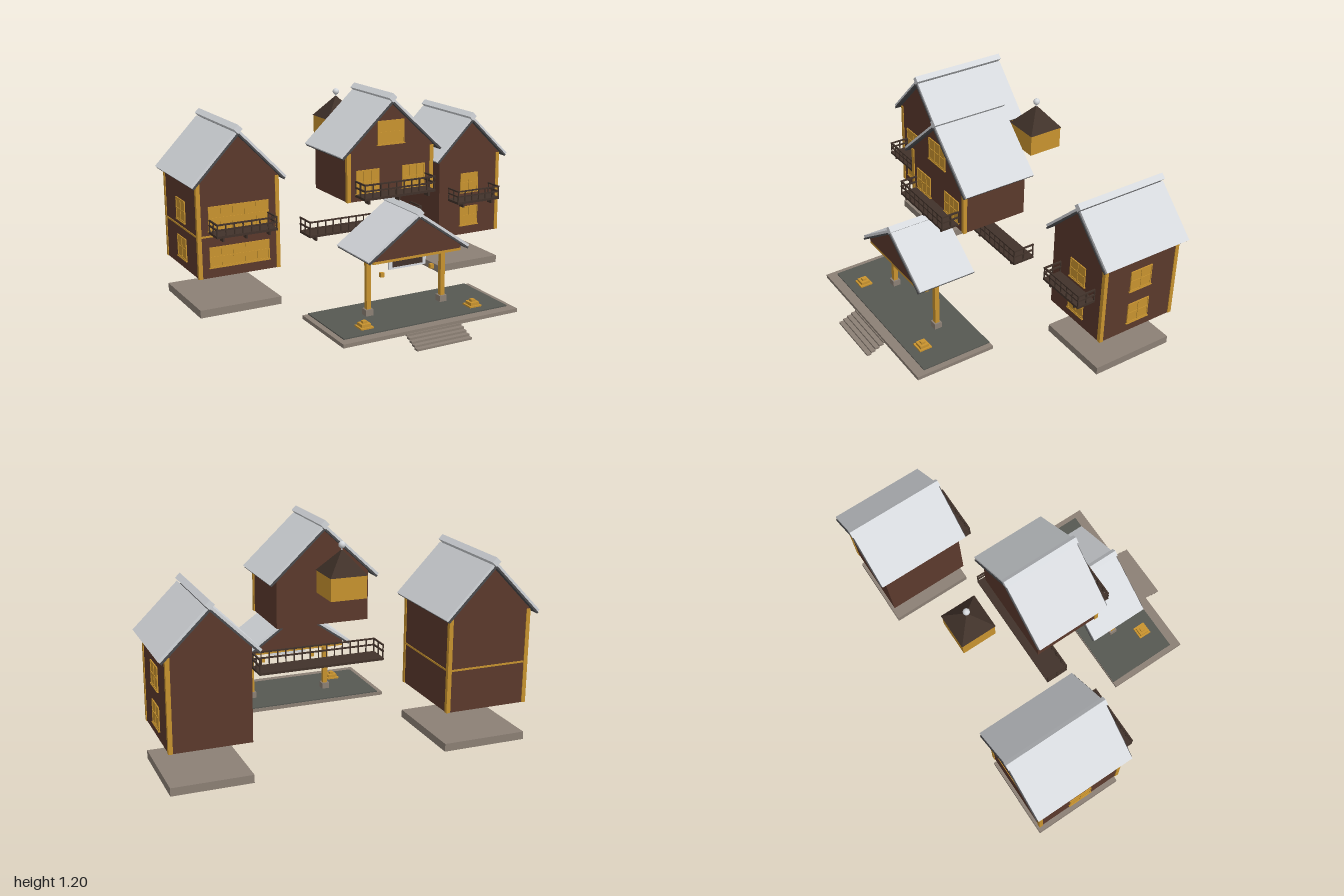
import * as THREE from 'three';

const paint = (name, color) => {
  const m = new THREE.MeshStandardMaterial({ color });
  m.name = name;
  return m;
};

export function createModel() {
  const wood = paint('brown timber', 0x5b392c);
  const gold = paint('golden wood', 0xc8932f);
  const snow = paint('pale roof', 0xd5d8dc);
  const eave = paint('dark eave', 0x4a4a4c);
  const dark = paint('dark brown', 0x41322a);
  const stone = paint('stone', 0x8c8075);
  const slate = paint('slate paving', 0x565852);

  const model = new THREE.Group();
  model.name = 'chalet';

  const add = (parent, name, geo, mat, x = 0, y = 0, z = 0) => {
    const m = new THREE.Mesh(geo, mat);
    m.name = name;
    m.position.set(x, y, z);
    parent.add(m);
    return m;
  };
  // Box given by its limits on each axis
  const block = (parent, name, mat, x0, x1, y0, y1, z0, z1) =>
    add(parent, name, new THREE.BoxGeometry(x1 - x0, y1 - y0, z1 - z0), mat,
      (x0 + x1) / 2, (y0 + y1) / 2, (z0 + z1) / 2);
  const group = (parent, name, x = 0, y = 0, z = 0, turn = 0) => {
    const g = new THREE.Group();
    g.name = name;
    g.position.set(x, y, z);
    g.rotation.y = turn;
    parent.add(g);
    return g;
  };

  // Walls with gable ends in one extruded prism
  function gabledWalls(parent, hw, y0, apex, slope, z0, z1) {
    const yw = apex - slope * hw;
    const s = new THREE.Shape();
    s.moveTo(-hw, y0);
    s.lineTo(hw, y0);
    s.lineTo(hw, yw);
    s.lineTo(0, apex);
    s.lineTo(-hw, yw);
    s.closePath();
    const geo = new THREE.ExtrudeGeometry(s, { depth: z1 - z0, bevelEnabled: false });
    add(parent, 'walls', geo, wood, 0, 0, z0);
  }

  // Two layered slopes and a diamond ridge bar
  function roof(parent, W, apex, slope, z0, z1) {
    const g = group(parent, 'roof');
    const a = Math.atan(slope), t = 0.024, under = 0.01;
    const L = (W - t * Math.sin(a)) / Math.cos(a);
    for (const s of [-1, 1]) {
      const side = group(g, 'roofSlope', 0, apex, 0);
      side.rotation.z = -s * a;
      const x0 = s > 0 ? 0 : -L;
      block(side, 'eaveBoard', eave, x0, x0 + L, 0, under, z0, z1);
      block(side, 'roofCover', snow, x0, x0 + L, under, t, z0 + 0.006, z1 - 0.006);
    }
    const ridge = add(g, 'ridgeBar', new THREE.BoxGeometry(0.034, 0.034, z1 - z0), snow,
      0, apex + t / Math.cos(a) - 0.003, (z0 + z1) / 2);
    ridge.rotation.z = Math.PI / 4;
  }

  // Window facing +z of its group: thin pane, frame bars and sill
  function gridWindow(parent, x, y, z, w, h, cols, rows, turn = 0) {
    const g = group(parent, 'window', x, y, z, turn);
    block(g, 'pane', gold, -w / 2, w / 2, -h / 2, h / 2, -0.002, 0.003);
    for (let i = 0; i <= cols; i++) {
      const bx = (i / cols - 0.5) * (w - 0.006);
      block(g, 'uprightBar', gold, bx - 0.003, bx + 0.003, -h / 2, h / 2, 0, 0.006);
    }
    for (let j = 0; j <= rows; j++) {
      const by = (j / rows - 0.5) * (h - 0.006);
      block(g, 'crossBar', gold, -w / 2, w / 2, by - 0.003, by + 0.003, 0, 0.006);
    }
    block(g, 'sill', gold, -w / 2 - 0.005, w / 2 + 0.005, -h / 2 - 0.005, -h / 2, 0, 0.009);
  }

  // Balcony open at the back, with brackets hanging below the floor
  function balcony(x, hw, yFloor, yRail, z0, z1, brackets) {
    const g = group(model, 'balcony', x);
    const r = 0.004, mid = (yFloor + yRail) / 2;
    block(g, 'balconyFloor', dark, -hw, hw, yFloor - 0.013, yFloor, z0, z1);
    for (const y of [mid, yRail - r]) {
      block(g, 'frontRail', dark, -hw, hw, y - r, y + r, z1 - 2 * r, z1);
      for (const s of [-1, 1]) {
        const rx = s * (hw - r);
        block(g, 'sideRail', dark, rx - r, rx + r, y - r, y + r, z0, z1);
      }
    }
    const post = (px, pz) => block(g, 'baluster', dark, px - 0.003, px + 0.003, yFloor, yRail, pz - 0.003, pz + 0.003);
    const n = Math.round(hw * 2 / 0.047);
    for (let i = 0; i <= n; i++) post((i / n * 2 - 1) * (hw - r), z1 - r);
    for (const s of [-1, 1]) {
      post(s * (hw - r), (z0 + z1) / 2);
      post(s * (hw - r), z0 + r);
    }
    for (const b of brackets) {
      block(g, 'bracket', dark, b - 0.005, b + 0.005, yFloor - 0.036, yFloor - 0.013, z1 - 0.05, z1 - 0.01);
    }
  }

  // Corner posts at the given corners, flush with the outer limits
  function cornerPosts(parent, hw, y0, y1, corners) {
    const w = 0.022;
    for (const [s, z, dir] of corners) {
      const x = s * (hw - w / 2), zc = z - dir * w / 2;
      block(parent, 'cornerPost', gold, x - w / 2, x + w / 2, y0, y1, zc - w / 2, zc + w / 2);
    }
  }

  // Wing at -x
  const west = group(model, 'westHouse', -0.731);
  gabledWalls(west, 0.229, 0.243, 0.997, 1.04, -0.678, -0.17);
  roof(west, 0.269, 0.997, 1.04, -0.715, -0.137);
  cornerPosts(west, 0.233, 0.243, 0.755, [[-1, -0.166, 1], [1, -0.166, 1], [-1, -0.682, -1], [1, -0.682, -1]]);
  block(west, 'beltBand', gold, -0.232, 0.232, 0.465, 0.475, -0.681, -0.167);
  for (const y of [0.355, 0.565]) {
    gridWindow(west, 0, y, -0.17, 0.34, y < 0.5 ? 0.11 : 0.13, 5, 2);
    gridWindow(west, -0.229, y, -0.42, 0.135, 0.12, 2, 2, -Math.PI / 2);
  }
  block(west, 'foundation', stone, -0.234, 0.232, 0.03, 0.073, -0.682, -0.165);
  balcony(-0.731, 0.17, 0.5, 0.563, -0.17, -0.05, [-0.13, 0, 0.13]);

  // Wing at +x
  const east = group(model, 'eastHouse', 0.75);
  gabledWalls(east, 0.207, 0.243, 0.928, 0.98, -0.678, -0.208);
  roof(east, 0.25, 0.928, 0.98, -0.713, -0.176);
  cornerPosts(east, 0.211, 0.243, 0.72, [[1, -0.205, 1], [1, -0.682, -1]]);
  for (const y of [0.357, 0.56]) {
    gridWindow(east, 0, y, -0.208, 0.123, 0.115, 2, 2);
    gridWindow(east, 0.207, y, -0.444, 0.135, 0.12, 2, 2, Math.PI / 2);
  }
  block(east, 'foundation', stone, -0.21, 0.21, 0.03, 0.073, -0.682, -0.205);
  balcony(0.75, 0.145, 0.475, 0.542, -0.21, -0.1, [-0.1, 0.1]);

  // Raised middle house
  const middle = group(model, 'middleHouse');
  gabledWalls(middle, 0.256, 0.645, 1.15, 0.93, -0.215, 0.162);
  roof(middle, 0.308, 1.15, 0.93, -0.242, 0.187);
  cornerPosts(middle, 0.261, 0.645, 0.905, [[-1, 0.167, 1], [1, 0.167, 1]]);
  gridWindow(middle, 0, 0.998, 0.162, 0.16, 0.125, 3, 2);
  for (const s of [-1, 1]) gridWindow(middle, s * 0.139, 0.748, 0.162, 0.138, 0.125, 3, 2);
  balcony(0, 0.213, 0.685, 0.758, 0.16, 0.268, [-0.18, 0, 0.18]);
  balcony(0, 0.355, 0.415, 0.492, -0.22, -0.092, [-0.31, 0, 0.31]);

  // Small tower with pyramid roof and ball
  const tower = group(model, 'tower', 0, 0, -0.464);
  block(tower, 'towerBox', gold, -0.096, 0.096, 0.865, 0.982, -0.096, 0.096);
  const pyramid = new THREE.ConeGeometry(0.1 * Math.SQRT2, 0.12, 4).toNonIndexed();
  pyramid.computeVertexNormals();
  add(tower, 'towerRoof', pyramid, dark, 0, 1.042, 0).rotation.y = Math.PI / 4;
  add(tower, 'finialRod', new THREE.CylinderGeometry(0.004, 0.004, 0.04, 8), snow, 0, 1.1, 0);
  add(tower, 'finialBall', new THREE.SphereGeometry(0.018, 16, 12), snow, 0, 1.124, 0);

  // Entrance porch
  const porch = group(model, 'porch');
  gabledWalls(porch, 0.262, 0.402, 0.602, 0.7, 0.145, 0.445);
  block(porch, 'ceiling', gold, -0.262, 0.262, 0.388, 0.402, 0.145, 0.445);
  roof(porch, 0.306, 0.602, 0.7, 0.122, 0.467);
  block(porch, 'platform', stone, -0.52, 0.52, 0.05, 0.07, 0.147, 0.61);
  block(porch, 'paving', slate, -0.49, 0.49, 0.07, 0.076, 0.15, 0.556);
  for (let i = 0; i < 5; i++) {
    const z = 0.715 - i * 0.025;
    block(porch, 'step', stone, -0.163, 0.163, i * 0.011, i * 0.011 + 0.011, z - 0.027, z);
  }
  for (const s of [-1, 1]) {
    const x = s * 0.226;
    block(porch, 'pillarBase', stone, x - 0.022, x + 0.022, 0.076, 0.11, 0.298, 0.342);
    block(porch, 'pillar', gold, x - 0.013, x + 0.013, 0.11, 0.39, 0.307, 0.333);
    // Stepped floor lantern
    [[0.036, 0.076, 0.084], [0.026, 0.084, 0.1], [0.012, 0.1, 0.112]].forEach(([r, y0, y1]) =>
      block(porch, 'floorLantern', gold, s * 0.328 - r, s * 0.328 + r, y0, y1, 0.468 - r, 0.468 + r));
    block(porch, 'hangingLantern', gold, s * 0.151 - 0.01, s * 0.151 + 0.01, 0.275, 0.299, 0.325, 0.345);
  }
  block(porch, 'signBoard', snow, -0.112, 0.112, 0.308, 0.368, 0.332, 0.342);
  block(porch, 'signPanel', dark, -0.09, 0.09, 0.32, 0.355, 0.342, 0.346);

  return model;
}
